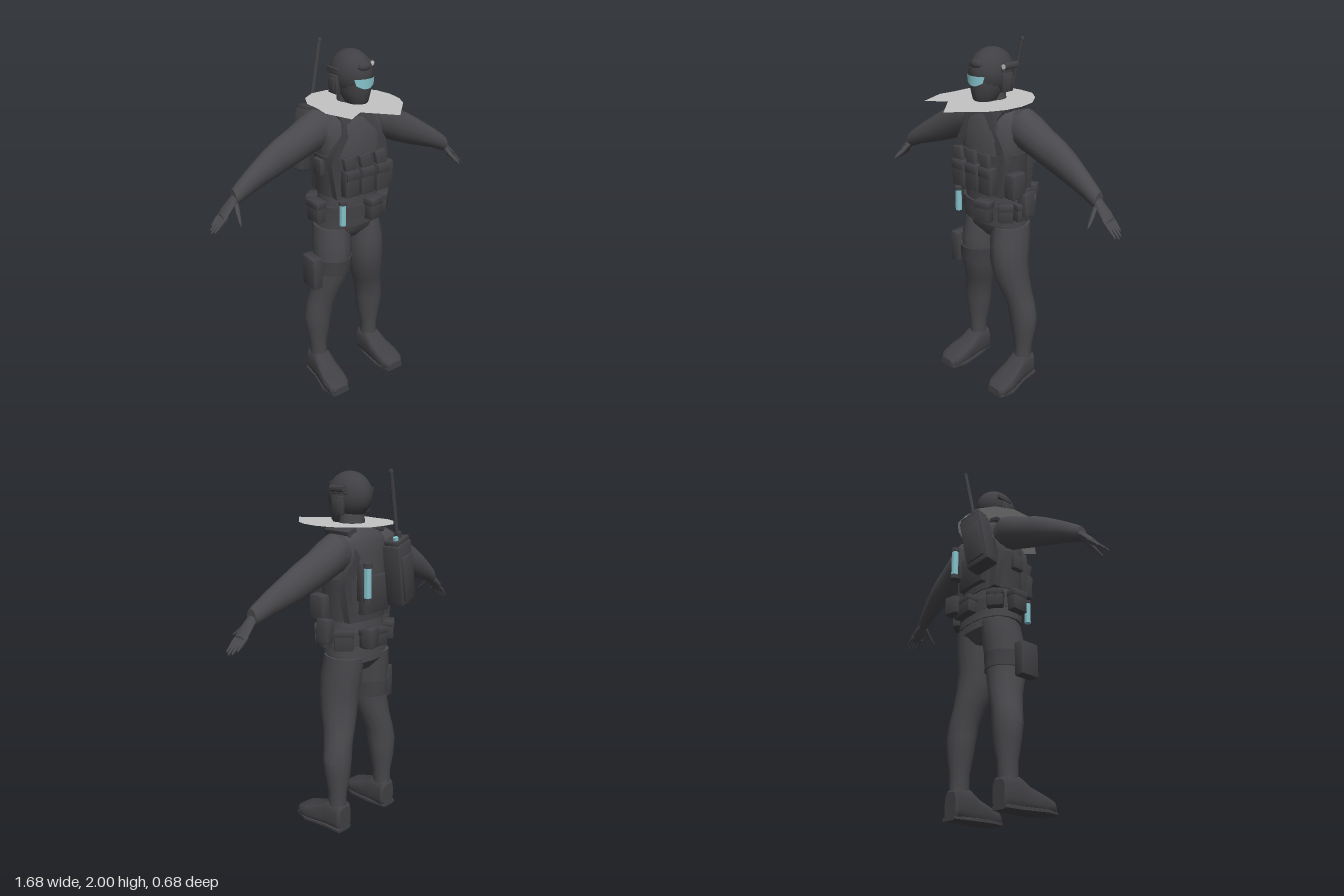
import * as THREE from 'three';
import { toCreasedNormals } from 'three/addons/utils/BufferGeometryUtils.js';
import { RoundedBoxGeometry } from 'three/addons/geometries/RoundedBoxGeometry.js';

const colour = (name, hex, side = THREE.FrontSide) => {
  const m = new THREE.MeshStandardMaterial({ color: hex, side });
  m.name = name;
  return m;
};

// Skin through rings [x, y, z, a, b] listed in increasing order along the axis
const AXES = {
  y: [[1, 0, 0], [0, 0, -1]],
  x: [[0, 1, 0], [0, 0, 1]],
  z: [[1, 0, 0], [0, 1, 0]],
};
function loft(rings, axis = 'y', n = 14, power = 1) {
  const [u, v] = AXES[axis];
  const pos = [], idx = [];
  const bend = (s) => Math.sign(s) * Math.pow(Math.abs(s), power);
  for (const [x, y, z, a, b] of rings) {
    for (let j = 0; j < n; j++) {
      const t = ((j + 0.5) / n) * Math.PI * 2;
      const c = a * bend(Math.cos(t)), s = b * bend(Math.sin(t));
      pos.push(x + u[0] * c + v[0] * s, y + u[1] * c + v[1] * s, z + u[2] * c + v[2] * s);
    }
  }
  const last = (rings.length - 1) * n;
  for (let i = 0; i < last; i += n) {
    for (let j = 0; j < n; j++) {
      const k = (j + 1) % n;
      idx.push(i + j, i + k, i + n + k, i + j, i + n + k, i + n + j);
    }
  }
  const start = pos.length / 3;
  pos.push(...rings[0].slice(0, 3), ...rings[rings.length - 1].slice(0, 3));
  for (let j = 0; j < n; j++) {
    const k = (j + 1) % n;
    idx.push(start, k, j, start + 1, last + j, last + k);
  }
  const g = new THREE.BufferGeometry();
  g.setAttribute('position', new THREE.Float32BufferAttribute(pos, 3));
  g.setIndex(idx);
  return g;
}

function mirrored(geo) {
  const g = geo.clone().scale(-1, 1, 1);
  g.setIndex(Array.from(g.index.array).reverse());
  return g;
}

export function createModel() {
  const root = new THREE.Group();
  root.name = 'soldier';
  const cloth = colour('charcoal cloth', 0x49494d);
  const gear = colour('dark gear', 0x414145);
  const teal = colour('pale teal', 0x86c3cc);
  const pale = colour('pale grey cape', 0xc4c4c4, THREE.DoubleSide);

  const add = (name, geo, mat, parent = root) => {
    const m = new THREE.Mesh(toCreasedNormals(geo, 0.55), mat);
    m.name = name;
    parent.add(m);
    return m;
  };
  const both = (name, geo, mat) => {
    add(name + 'Left', geo, mat);
    add(name + 'Right', mirrored(geo), mat);
  };
  const box = (name, w, h, d, x, y, z, ry = 0, rz = 0, parent = root) => {
    const r = Math.min(w, h, d) * 0.16;
    const m = add(name, new RoundedBoxGeometry(w, h, d, 1, r), gear, parent);
    m.position.set(x, y, z);
    m.rotation.set(0, ry, rz);
    return m;
  };
  const rod = (name, r, h, mat, x, y, z, parent = root) => {
    const m = add(name, new THREE.CylinderGeometry(r, r, h, 12), mat, parent);
    m.position.set(x, y, z);
    return m;
  };

  // Body
  add('torso', loft([
    [0, 0.93, -0.08, 0.07, 0.07], [0, 0.99, -0.08, 0.185, 0.12], [0, 1.06, -0.07, 0.19, 0.13],
    [0, 1.18, -0.06, 0.175, 0.13], [0, 1.32, -0.055, 0.175, 0.135], [0, 1.46, -0.05, 0.19, 0.138],
    [0, 1.57, -0.055, 0.2, 0.13], [0, 1.64, -0.065, 0.18, 0.115], [0, 1.68, -0.065, 0.13, 0.095],
    [0, 1.71, -0.06, 0.07, 0.07]], 'y', 18, 0.85), cloth);
  add('neck', loft([[0, 1.62, -0.06, 0.085, 0.085], [0, 1.69, -0.045, 0.085, 0.085],
    [0, 1.71, -0.04, 0.07, 0.07], [0, 1.8, -0.03, 0.065, 0.075]]), cloth);
  both('leg', loft([
    [0.19, 0.12, -0.11, 0.048, 0.055], [0.19, 0.24, -0.112, 0.052, 0.056],
    [0.188, 0.34, -0.112, 0.074, 0.071], [0.186, 0.43, -0.108, 0.085, 0.079],
    [0.172, 0.52, -0.1, 0.082, 0.083], [0.148, 0.6, -0.085, 0.088, 0.092],
    [0.127, 0.7, -0.065, 0.1, 0.106], [0.115, 0.8, -0.056, 0.104, 0.116],
    [0.11, 0.9, -0.065, 0.105, 0.125], [0.102, 1.02, -0.08, 0.098, 0.12]]), cloth);
  both('boot', loft([
    [0.188, 0.078, -0.17, 0.045, 0.068], [0.188, 0.085, -0.155, 0.058, 0.082],
    [0.19, 0.086, -0.07, 0.062, 0.084], [0.195, 0.066, -0.01, 0.067, 0.062],
    [0.202, 0.05, 0.07, 0.076, 0.046], [0.204, 0.041, 0.13, 0.068, 0.035],
    [0.204, 0.034, 0.16, 0.045, 0.022]], 'z', 16, 0.6), gear);
  both('sole', loft([[0.195, 0.012, -0.172, 0.05, 0.012], [0.19, 0.012, -0.06, 0.062, 0.012],
    [0.202, 0.012, 0.07, 0.079, 0.012], [0.204, 0.014, 0.155, 0.055, 0.012]], 'z', 12, 0.4), gear);
  both('arm', loft([
    [0.1, 1.58, -0.075, 0.085, 0.08], [0.19, 1.578, -0.085, 0.108, 0.094],
    [0.25, 1.553, -0.087, 0.105, 0.09], [0.33, 1.513, -0.087, 0.098, 0.08],
    [0.42, 1.475, -0.085, 0.094, 0.07], [0.5, 1.438, -0.078, 0.082, 0.064],
    [0.6, 1.39, -0.062, 0.064, 0.05], [0.68, 1.345, -0.05, 0.05, 0.04],
    [0.7, 1.335, -0.048, 0.042, 0.034]], 'x'), cloth);

  // Hands
  both('palm', loft([[0.67, 1.345, -0.048, 0.03, 0.026], [0.71, 1.31, -0.048, 0.027, 0.034],
    [0.75, 1.27, -0.048, 0.025, 0.042], [0.775, 1.245, -0.048, 0.016, 0.04]], 'x', 10), cloth);
  [[-0.08, 0.815], [-0.06, 0.832], [-0.038, 0.838], [-0.016, 0.83]].forEach(([z, tip], i) => {
    const drop = 1.245 - (tip - 0.765) * 0.88;
    both('finger' + (i + 1), loft([[0.755, 1.258, z, 0.014, 0.011],
      [(0.765 + tip) / 2, (1.25 + drop) / 2, z, 0.013, 0.01], [tip, drop, z, 0.005, 0.006]], 'x', 7), cloth);
  });
  both('thumb', loft([[0.695, 1.315, -0.035, 0.014, 0.018], [0.71, 1.27, 0.015, 0.012, 0.016],
    [0.725, 1.235, 0.065, 0.006, 0.008]], 'z', 7), cloth);

  // Head, helmet and visor
  add('face', loft([[0, 1.7, 0.025, 0.04, 0.045], [0, 1.73, 0.015, 0.062, 0.075],
    [0, 1.78, 0, 0.08, 0.1], [0, 1.84, -0.01, 0.09, 0.112], [0, 1.88, -0.02, 0.09, 0.115]], 'y', 16), gear);
  const helmet = add('helmet', new THREE.SphereGeometry(1, 24, 16).scale(0.102, 0.122, 0.131), gear);
  helmet.position.set(0, 1.861, -0.026);
  const visor = new THREE.PlaneGeometry(0.125, 0.05, 8, 1);
  const vp = visor.attributes.position;
  for (let i = 0; i < vp.count; i++) {
    const x = vp.getX(i) * (vp.getY(i) < 0 ? 0.85 : 1);
    const lift = vp.getY(i) < 0 ? Math.max(0, Math.abs(x) - 0.02) * 0.5 : 0;
    vp.setXYZ(i, x, 1.829 + vp.getY(i) + lift, 0.111 - 6 * x * x);
  }
  add('visor', visor, teal);
  const crest = add('helmetMount', new THREE.SphereGeometry(1, 12, 6).scale(0.04, 0.025, 0.02), gear);
  crest.position.set(0, 1.91, 0.085);
  for (const s of [1, -1]) {
    box('earCup', 0.03, 0.095, 0.07, s * 0.099, 1.815, -0.035);
    box('earPad', 0.016, 0.065, 0.048, s * 0.113, 1.815, -0.035);
    box('helmetRail', 0.018, 0.025, 0.1, s * 0.098, 1.885, -0.045);
  }
  const lamp = rod('helmetLamp', 0.017, 0.095, gear, 0.112, 1.9, -0.045);
  lamp.rotation.x = Math.PI / 2;
  const lens = rod('lampLens', 0.013, 0.004, pale, 0.112, 1.9, 0.003);
  lens.rotation.x = Math.PI / 2;

  // Flat pointed cape
  const outline = [[-0.2, 0.26], [-0.1, 0.19], [0.03, 0.34], [0.18, 0.18], [0.22, 0.1], [0.235, 0],
    [0.22, -0.1], [0.16, -0.19], [0.09, -0.25], [0, -0.26], [-0.1, -0.25], [-0.18, -0.19],
    [-0.23, -0.09], [-0.235, 0.02], [-0.25, 0.11]];
  const cape = new THREE.ShapeGeometry(new THREE.Shape(outline.map(([x, z]) => new THREE.Vector2(x, -z))));
  add('cape', cape.rotateX(-Math.PI / 2).translate(0, 1.72, 0), pale);

  // Vest: waist band with bent front and back panels
  add('vestBand', loft([[0, 1.22, -0.055, 0.18, 0.142], [0, 1.34, -0.053, 0.188, 0.146],
    [0, 1.45, -0.05, 0.196, 0.147]], 'y', 18, 0.8), gear);
  const half = [[0.16, 1.22], [0.185, 1.42], [0.165, 1.5], [0.12, 1.57], [0.105, 1.63], [0.135, 1.69],
    [0.08, 1.71], [0.06, 1.67]];
  const panelShape = new THREE.Shape([...half, ...half.map(([x, y]) => [-x, y]).reverse()]
    .map(([x, y]) => new THREE.Vector2(x, y)));
  const panel = (dir) => {
    const g = new THREE.ExtrudeGeometry(panelShape, { depth: 0.05, bevelEnabled: false });
    if (dir < 0) g.rotateY(Math.PI);
    const p = g.attributes.position;
    for (let i = 0; i < p.count; i++) {
      const x = p.getX(i), top = Math.max(0, p.getY(i) - 1.54);
      p.setZ(i, p.getZ(i) + dir * (0.105 - x * x * 1.3 - top * 0.42) - 0.055);
    }
    return g;
  };
  add('vestFront', panel(1), gear);
  add('vestBack', panel(-1), gear);
  for (const s of [1, -1]) box('shoulderStrap', 0.065, 0.025, 0.17, s * 0.11, 1.69, -0.06, 0, s * -0.3);

  // Chest magazines in their pouches
  for (const x of [-0.1, 0, 0.1]) {
    box('magazinePouch', 0.088, 0.15, 0.055, x, 1.32, 0.105);
    box('pouchFlap', 0.08, 0.045, 0.012, x, 1.365, 0.132);
    box('magazine', 0.065, 0.11, 0.03, x - 0.008, 1.41, 0.11, 0, 0.17);
  }

  // Belt and pouches around it
  add('belt', loft([[0, 1.09, -0.063, 0.203, 0.145], [0, 1.16, -0.06, 0.195, 0.142]], 'y', 20, 0.85), gear);
  add('beltSkirt', loft([[0, 1.035, -0.07, 0.198, 0.137], [0, 1.09, -0.065, 0.199, 0.141]], 'y', 20, 0.85), cloth);
  const pouches = [[0.3, 0.09, 0.12], [0.92, 0.08, 0.1], [1.42, 0.08, 0.1], [2.15, 0.1, 0.11],
    [3.0, 0.15, 0.1], [4.0, 0.09, 0.1], [4.75, 0.1, 0.12]];
  for (const [a, w, h] of pouches) {
    const x = Math.sin(a) * 0.212, z = -0.063 + Math.cos(a) * 0.162;
    const turn = Math.atan2(Math.sin(a) / 0.2, Math.cos(a) / 0.145);
    box('beltPouch', w, h, 0.06, x, 1.13, z, turn);
    box('beltPouchFlap', w * 1.04, h * 0.35, 0.066, x, 1.13 + h * 0.36, z, turn);
  }
  box('sidePouch', 0.07, 0.14, 0.1, 0.2, 1.29, 0);
  box('hipPouch', 0.06, 0.13, 0.08, 0.228, 1.175, -0.06, 0, 0.1);
  box('leftBackPouch', 0.08, 0.11, 0.065, 0.09, 1.15, -0.26, 0.25);
  box('rightSidePouch', 0.04, 0.09, 0.07, -0.195, 1.39, -0.04);
  rod('frontCanister', 0.018, 0.125, teal, -0.14, 1.14, 0.09);
  rod('frontCanisterCap', 0.021, 0.018, gear, -0.14, 1.207, 0.09);

  // Thigh holster
  add('thighStrap', loft([[-0.12, 0.745, -0.06, 0.11, 0.119], [-0.116, 0.835, -0.056, 0.111, 0.124]]), gear);
  box('holster', 0.06, 0.19, 0.12, -0.26, 0.775, -0.04);
  box('holsterPlate', 0.03, 0.1, 0.08, -0.225, 0.79, -0.045);

  // Back radio with antenna
  const radio = new THREE.Group();
  radio.name = 'radio';
  radio.position.set(-0.125, 1.465, -0.265);
  radio.rotation.set(0, 0.2, -0.2);
  root.add(radio);
  box('radioCase', 0.15, 0.34, 0.1, 0, 0, 0, 0, 0, radio);
  box('radioCover', 0.11, 0.24, 0.02, 0, -0.02, -0.05, 0, 0, radio);
  box('radioTop', 0.13, 0.03, 0.08, 0, 0.175, 0, 0, 0, radio);
  rod('radioKnob', 0.014, 0.025, teal, 0.035, 0.195, -0.015, radio);
  rod('antennaBase', 0.018, 0.04, gear, -0.01, 0.2, -0.005, radio);
  const path = new THREE.LineCurve3(new THREE.Vector3(-0.095, 1.64, -0.272), new THREE.Vector3(-0.02, 1.99, -0.285));
  add('antenna', new THREE.TubeGeometry(path, 1, 0.011, 8), gear);
  const tip = add('antennaTip', new THREE.SphereGeometry(0.013, 8, 6), gear);
  tip.position.set(-0.02, 1.987, -0.285);

  // Back canister in its holder
  rod('backCanister', 0.02, 0.16, teal, 0.105, 1.44, -0.25);
  for (const y of [1.35, 1.53]) rod('backCanisterCap', 0.024, 0.025, gear, 0.105, y, -0.25);
  box('canisterHolder', 0.05, 0.2, 0.04, 0.105, 1.44, -0.215);
  box('backPanel', 0.2, 0.2, 0.04, 0, 1.36, -0.2);
  return root;
}
